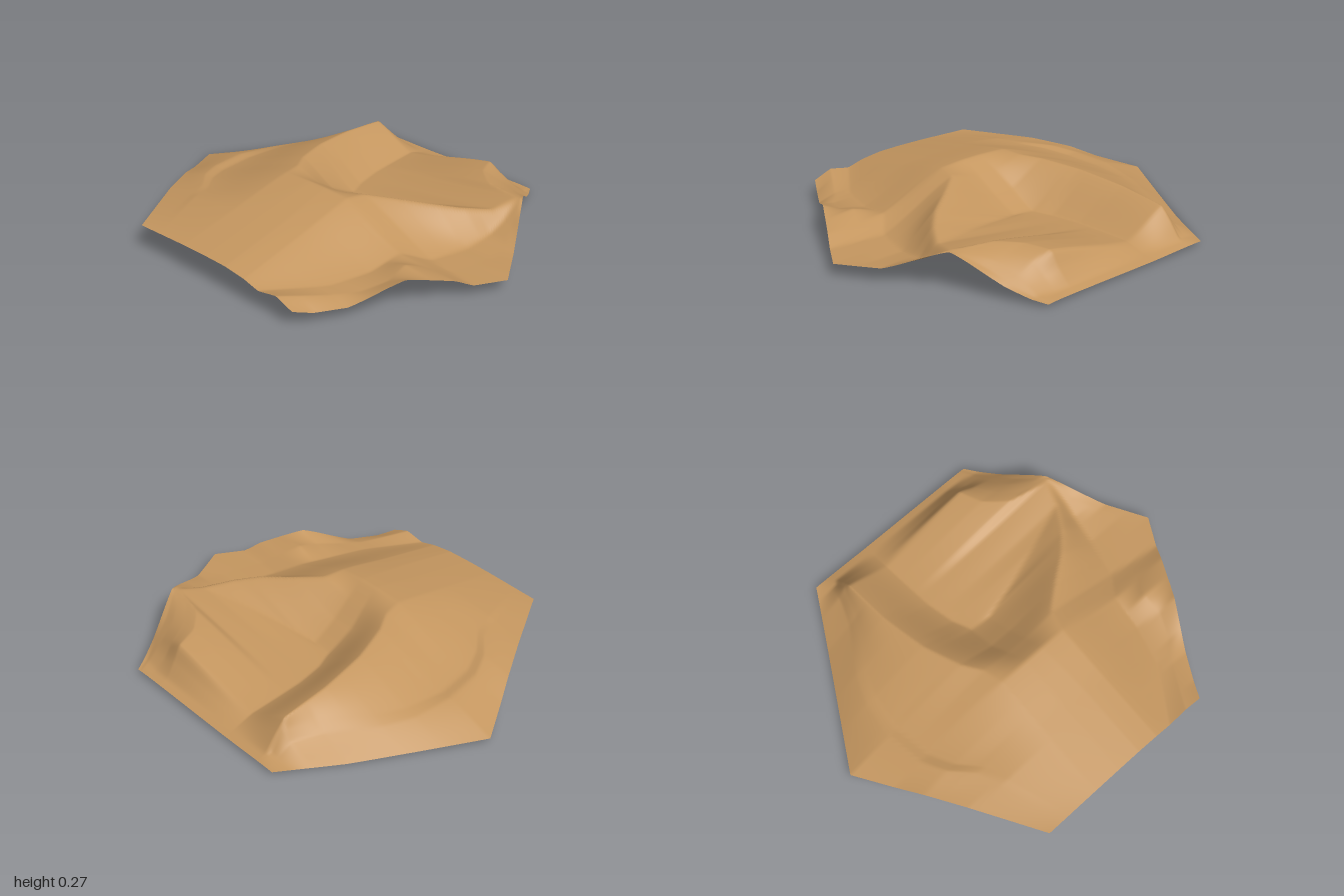
import * as THREE from 'three';

// Gently rounded polyline through points [t, value]: mostly straight, partly monotone curve
function curveAt(p, t) {
  const n = p.length;
  if (t <= p[0][0]) return p[0][1];
  if (t >= p[n - 1][0]) return p[n - 1][1];
  let i = 0;
  while (t > p[i + 1][0]) i++;
  const step = k => p[k + 1][0] - p[k][0];
  const slope = k => (p[k + 1][1] - p[k][1]) / step(k);
  const tangent = k => {
    if (k === 0) return slope(0);
    if (k === n - 1) return slope(n - 2);
    const a = slope(k - 1), b = slope(k);
    if (a * b <= 0) return 0;
    const u = 2 * step(k) + step(k - 1), v = step(k) + 2 * step(k - 1);
    return (u + v) / (u / a + v / b);
  };
  const h = step(i), s = (t - p[i][0]) / h, r = 1 - s;
  const curved = (1 + 2 * s) * r * r * p[i][1] + s * r * r * h * tangent(i)
    + s * s * (3 - 2 * s) * p[i + 1][1] - s * s * r * h * tangent(i + 1);
  return THREE.MathUtils.lerp(curved, r * p[i][1] + s * p[i + 1][1], 0.75);
}

// Half depth of the hexagon at x
const halfDepth = x => 1 - Math.abs(x) / Math.sqrt(3);

// Heights of the rear and front rims: [x, y]
const backEdge = [[-.866, .13], [-.52, .125], [-.33, .1], [-.2, .062], [0, .025],
  [.3, .01], [.57, 0], [.75, .01], [.866, .017]];
const frontEdge = [[-.866, .085], [-.78, .062], [-.65, .06], [-.42, .152], [-.22, .105],
  [-.14, .066], [0, .065], [.2, .075], [.48, .2], [.7, .07], [.8, .03], [.866, .017]];

// Ridge and valley lines from back to front: [x, z, y]
const scarpCrest = [[-.866, -.42, .132], [-.55, -.52, .155], [-.43, -.56, .156], [-.32, -.66, .143],
  [-.2, -.72, .125], [0, -.745, .112], [.2, -.72, .092], [.35, -.66, .085], [.57, -.52, .085],
  [.72, -.46, .08], [.8, -.46, .03], [.866, -.46, .018]];
const scarpTrough = [[-.866, -.37, .134], [-.55, -.48, .165], [-.43, -.52, .158], [-.32, -.61, .138],
  [-.2, -.665, .119], [0, -.69, .108], [.2, -.66, .108], [.35, -.6, .112], [.57, -.47, .125],
  [.72, -.42, .135], [.8, -.42, .04], [.866, -.42, .018]];
const northRim = [[-.866, -.2, .14], [-.5, -.2, .211], [-.2, -.2, .267], [-.1, -.22, .26], [0, -.28, .25],
  [.2, -.35, .23], [.45, -.39, .205], [.7, -.4, .176], [.76, -.4, .11], [.82, -.4, .035], [.866, -.4, .018]];
const northFoot = [[-.866, -.05, .142], [-.5, -.05, .215], [-.2, -.04, .274], [-.1, -.06, .215], [0, -.08, .145],
  [.15, -.08, .068], [.25, -.12, .063], [.4, -.15, .062], [.7, -.17, .06], [.8, -.17, .03], [.866, -.17, .015]];
const basinCrest = [[-.866, .08, .14], [-.5, .08, .213], [-.2, .06, .274], [-.1, .05, .215], [0, .04, .145],
  [.14, .03, .072], [.18, .2, .1], [.25, .42, .138], [.33, .64, .168], [.46, .68, .195],
  [.5, .5, .193], [.6, .39, .185], [.72, .345, .176], [.76, .34, .11], [.82, .33, .035], [.866, .33, .02]];
const spurRim = [[-.866, .2, .125], [-.5, .2, .2], [-.2, .2, .266], [-.1, .22, .258], [0, .34, .24],
  [.1, .48, .222], [.2, .58, .198], [.33, .665, .172], [.46, .7, .197], [.5, .58, .188],
  [.6, .48, .168], [.7, .43, .145], [.76, .42, .08], [.82, .42, .03], [.866, .42, .02]];
const spurFoot = [[-.866, .29, .102], [-.6, .47, .085], [-.4, .53, .09], [-.22, .55, .117], [-.1, .64, .068],
  [.1, .69, .065], [.25, .71, .09], [.33, .72, .125], [.46, .72, .198], [.5, .65, .187],
  [.6, .56, .15], [.7, .52, .1], [.8, .5, .035], [.866, .48, .018]];
const frontShoulder = [[-.866, .4, .122], [-.65, .53, .085], [-.55, .6, .085], [-.42, .66, .11], [-.31, .66, .142],
  [-.2, .72, .1], [-.12, .76, .066], [.1, .83, .065], [.2, .83, .077], [.33, .77, .128],
  [.46, .727, .199], [.5, .69, .188], [.6, .62, .133], [.7, .57, .08], [.8, .52, .03], [.866, .49, .017]];
const lines = [scarpCrest, scarpTrough, northRim, northFoot, basinCrest, spurRim, spurFoot, frontShoulder]
  .map(l => ({ z: l.map(p => [p[0], p[1]]), y: l.map(p => [p[0], p[2]]) }));

// Cross-section of the land at x, as [z, y] points
function sectionAt(x) {
  const d = halfDepth(x), gap = 0.005;
  const section = [[-d, curveAt(backEdge, x)]];
  lines.forEach((line, i) => {
    const low = section[i][0] + gap, high = d - gap * (lines.length - i);
    section.push([Math.min(high, Math.max(low, curveAt(line.z, x))), curveAt(line.y, x)]);
  });
  section.push([d, curveAt(frontEdge, x)]);
  return section;
}

export function createModel() {
  const group = new THREE.Group();
  group.name = 'hillyTile';
  const sand = new THREE.MeshStandardMaterial({ color: 0xc4965f, side: THREE.DoubleSide });
  sand.name = 'sand';

  // Flat grid squeezed to a hexagon and raised to the land's height
  const n = 160, width = Math.sqrt(3);
  const geometry = new THREE.PlaneGeometry(width, 2, n, n).rotateX(-Math.PI / 2);
  const pos = geometry.attributes.position;
  const sections = [];
  for (let i = 0; i <= n; i++) sections.push(sectionAt((i / n - 0.5) * width));
  for (let i = 0; i < pos.count; i++) {
    const x = pos.getX(i), z = pos.getZ(i) * halfDepth(x);
    pos.setXYZ(i, x, curveAt(sections[i % (n + 1)], z), z);
  }
  geometry.computeVertexNormals();

  const terrain = new THREE.Mesh(geometry, sand);
  terrain.name = 'terrain';
  group.add(terrain);
  return group;
}
